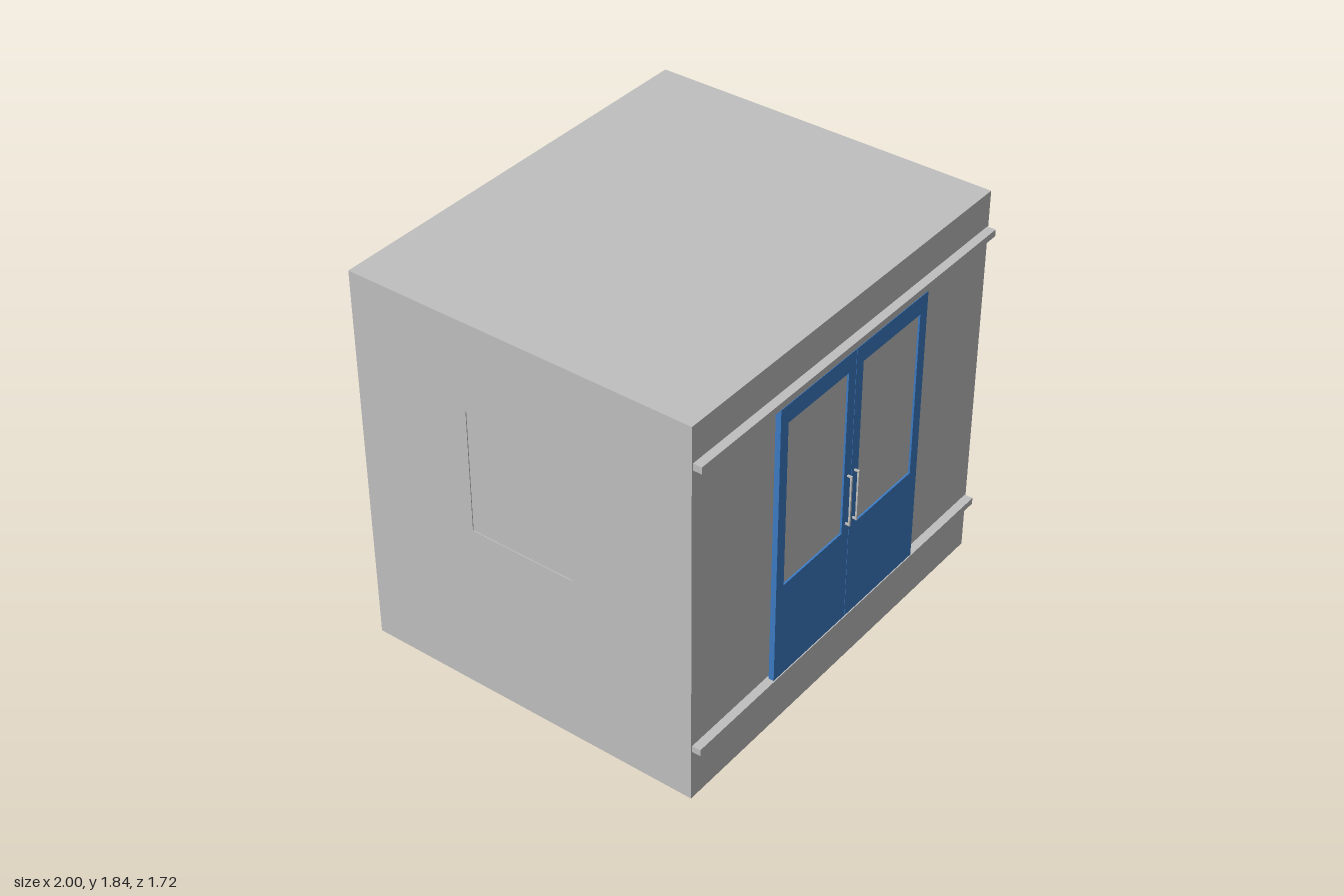
import * as THREE from 'three';

const grey = new THREE.MeshStandardMaterial({ color: 0xc0c0c0 });
grey.name = 'grey metal';
const blue = new THREE.MeshStandardMaterial({ color: 0x3d7cc4 });
blue.name = 'blue paint';

const H = 1.84, BACK = -0.86, FRONT = 0.8, WALL = 0.012;

function box(name, mat, x0, x1, y0, y1, z0, z1) {
  const m = new THREE.Mesh(new THREE.BoxGeometry(x1 - x0, y1 - y0, z1 - z0), mat);
  m.position.set((x0 + x1) / 2, (y0 + y1) / 2, (z0 + z1) / 2);
  m.name = name;
  return m;
}

function trace(path, x0, x1, y0, y1) {
  path.moveTo(x0, y0);
  path.lineTo(x1, y0);
  path.lineTo(x1, y1);
  path.lineTo(x0, y1);
  path.closePath();
  return path;
}

// Upright slab in the xy plane with one rectangular opening
function slab(name, mat, outer, hole, depth) {
  const shape = trace(new THREE.Shape(), ...outer);
  shape.holes.push(trace(new THREE.Path(), ...hole));
  const m = new THREE.Mesh(new THREE.ExtrudeGeometry(shape, { depth, bevelEnabled: false }), mat);
  m.name = name;
  return m;
}

// One door leaf with its window and pull handle; side is +1 or -1
function doorLeaf(side) {
  const g = new THREE.Group();
  g.name = side > 0 ? 'leftDoor' : 'rightDoor';
  const span = (a, b) => (side > 0 ? [a, b] : [-b, -a]);
  const win = [...span(0.05, 0.45), 0.755, 1.55];
  const leaf = slab('doorLeaf', blue, [...span(0.001, 0.5), 0.285, 1.635], win, 0.025);
  leaf.position.z = 0.812;
  g.add(leaf, box('doorWindow', grey, ...win, 0.821, 0.828));

  const hx = span(0.021, 0.029);
  g.add(box('handleGrip', grey, ...hx, 0.79, 1.04, 0.852, 0.86));
  for (const y of [0.79, 1.032]) g.add(box('handleMount', grey, ...hx, y, y + 0.008, 0.837, 0.852));
  return g;
}

export function createModel() {
  const model = new THREE.Group();
  model.name = 'cabin';

  // Shell, open underneath
  model.add(box('roof', grey, -1, 1, H - WALL, H, BACK, FRONT));
  model.add(box('backWall', grey, -1, 1, 0, H - WALL, BACK, BACK + WALL));
  const front = slab('frontWall', grey, [-1, 1, 0, H - WALL], [-0.46, 0.46, 0.33, 1.59], WALL);
  front.position.z = FRONT - WALL;
  model.add(front);

  // Side walls with shallow recessed windows
  for (const side of [1, -1]) {
    const outer = [-(FRONT - WALL), -(BACK + WALL), 0, H - WALL];
    const wall = slab('sideWall', grey, outer, [-0.22, 0.29, 0.83, 1.42], WALL);
    wall.rotation.y = Math.PI / 2;
    wall.position.x = side > 0 ? 1 - WALL : -1;
    const mid = side * (1 - WALL / 2);
    model.add(wall, box('sideWindow', grey, mid - 0.002, mid + 0.002, 0.83, 1.42, -0.29, 0.22));
  }

  // Flat foot plates in the corners
  for (const x of [-0.953, 0.953]) {
    for (const z of [BACK + 0.047, FRONT - 0.047]) {
      model.add(box('footPlate', grey, x - 0.035, x + 0.035, 0, 0.006, z - 0.035, z + 0.035));
    }
  }

  // Sliding rails above and below the doors
  for (const y of [0.25, 1.642]) {
    model.add(box('slidingRail', grey, -0.993, 0.993, y, y + 0.032, FRONT, 0.84));
  }

  // Double sliding door
  model.add(doorLeaf(1), doorLeaf(-1));
  return model;
}
